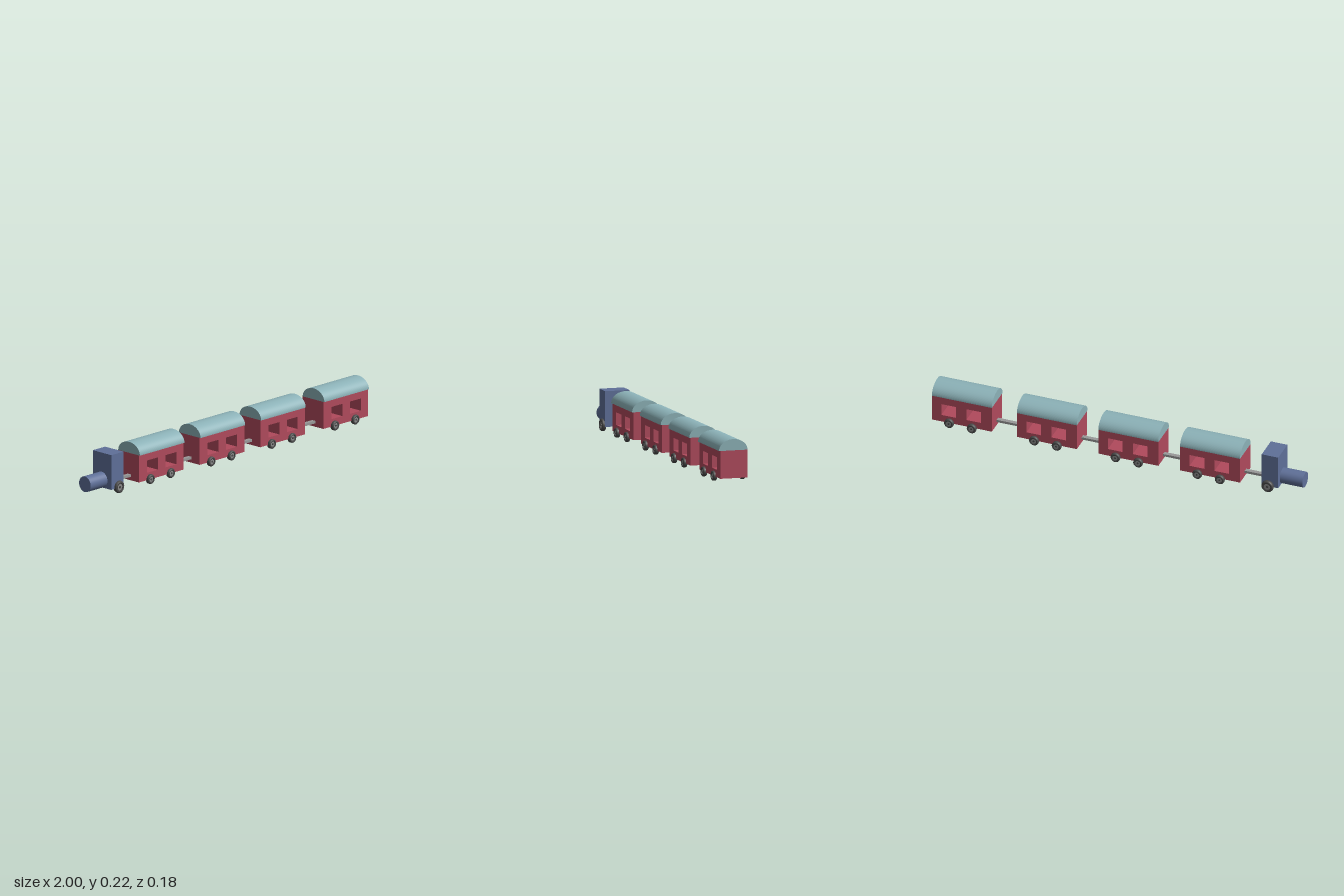
import * as THREE from 'three';

const mat = (color) => new THREE.MeshStandardMaterial({ color });
const blue = mat(0x5f7099), red = mat(0xb04a5c), teal = mat(0x8cb2b8);
const tyreGrey = mat(0x4a4a4a), hubGrey = mat(0x8a8a8a), steel = mat(0x999999);

function add(parent, name, geometry, material, x = 0, y = 0, z = 0) {
  const mesh = new THREE.Mesh(geometry, material);
  mesh.name = name;
  mesh.position.set(x, y, z);
  parent.add(mesh);
  return mesh;
}

// Rounded tyre on a recessed hub with a small axle cap
function wheel(parent, name, x, z, r) {
  const g = new THREE.Group();
  g.name = name;
  g.position.set(x, r + 0.002, z);
  const w = 0.011;
  const profile = [[0.55, -0.8], [0.7, -1], [0.86, -0.95], [0.97, -0.65], [1, 0],
    [0.97, 0.65], [0.86, 0.95], [0.7, 1], [0.55, 0.8], [0.55, -0.8]]
    .map(([a, b]) => new THREE.Vector2(a * r, b * w));
  add(g, 'tyre', new THREE.LatheGeometry(profile, 28).rotateX(Math.PI / 2), tyreGrey);
  add(g, 'hub', new THREE.CylinderGeometry(r * 0.56, r * 0.56, w * 1.2, 24).rotateX(Math.PI / 2), hubGrey);
  add(g, 'axleCap', new THREE.CylinderGeometry(r * 0.2, r * 0.2, w * 1.7, 16).rotateX(Math.PI / 2), tyreGrey);
  parent.add(g);
}

const LENGTH = 0.326;

function carriage(x0, index) {
  const car = new THREE.Group();
  car.name = 'carriage' + index;
  car.position.x = x0;

  // Body with two windows cut straight through
  const side = new THREE.Shape();
  side.moveTo(0, 0.025).lineTo(LENGTH, 0.025).lineTo(LENGTH, 0.168).lineTo(0, 0.168).closePath();
  for (const wx of [0.059, 0.194]) {
    const hole = new THREE.Path();
    hole.moveTo(wx, 0.064).lineTo(wx, 0.129).lineTo(wx + 0.08, 0.129).lineTo(wx + 0.08, 0.064).closePath();
    side.holes.push(hole);
  }
  add(car, 'body', new THREE.ExtrudeGeometry(side, { depth: 0.146, bevelEnabled: false }), red, 0, 0, -0.068);

  // Half-oval roof running the length of the body
  const arch = new THREE.Shape();
  arch.absellipse(0, 0, 0.0765, 0.058, 0, Math.PI, false);
  arch.closePath();
  const roof = new THREE.ExtrudeGeometry(arch, { depth: LENGTH, bevelEnabled: false, curveSegments: 32 });
  add(car, 'roof', roof.rotateY(Math.PI / 2), teal, 0, 0.168, 0.008);

  // Wheels are not quite mirrored from side to side
  wheel(car, 'frontWheelA', 0.08, 0.081, 0.0255);
  wheel(car, 'frontWheelB', 0.23, 0.079, 0.0255);
  wheel(car, 'backWheelA', 0.105, -0.079, 0.0255);
  wheel(car, 'backWheelB', 0.23, -0.073, 0.0255);
  return car;
}

export function createModel() {
  const train = new THREE.Group();
  train.name = 'train';

  // Locomotive
  const engine = new THREE.Group();
  engine.name = 'engine';
  add(engine, 'cab', new THREE.BoxGeometry(0.09, 0.184, 0.131), blue, -0.832, 0.12, 0.0125);
  add(engine, 'boiler', new THREE.CylinderGeometry(0.041, 0.041, 0.14, 32).rotateZ(Math.PI / 2), blue, -0.93, 0.07, 0.01);
  wheel(engine, 'frontWheel', -0.823, 0.08, 0.032);
  wheel(engine, 'backWheel', -0.823, -0.062, 0.032);
  train.add(engine);

  // Carriages, each with a coupling bar reaching the vehicle ahead
  let previousEnd = -0.787;
  [-0.675, -0.231, 0.212, 0.674].forEach((x0, i) => {
    train.add(carriage(x0, i + 1));
    const gap = x0 - previousEnd;
    add(train, 'coupling' + (i + 1), new THREE.BoxGeometry(gap + 0.02, 0.013, 0.022), steel,
      previousEnd + gap / 2, 0.05, 0.01);
    previousEnd = x0 + LENGTH;
  });
  return train;
}
